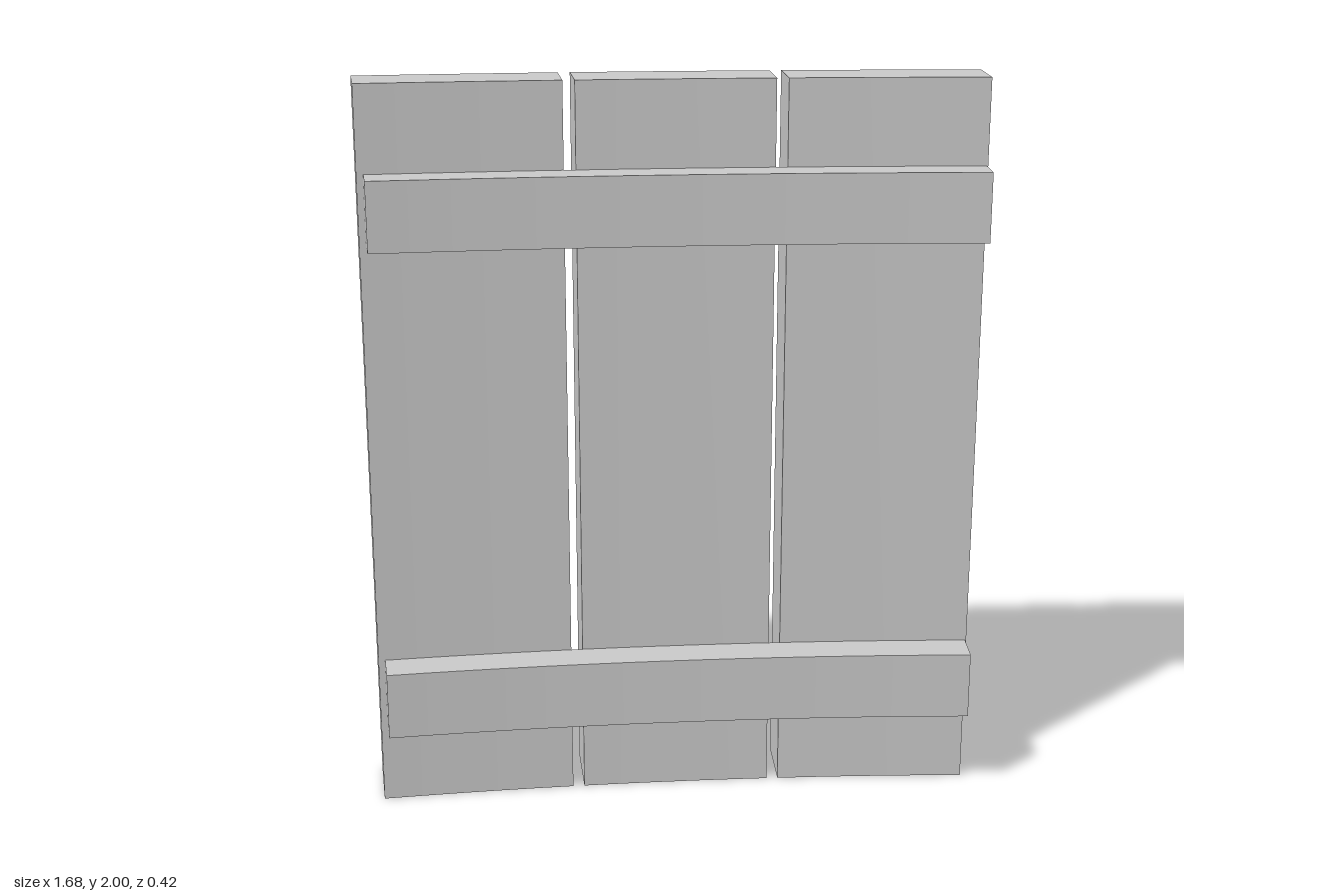
import * as THREE from 'three';

// All pieces are bent around one vertical axis in front of the panel
const RADIUS = 10.2;        // radius of the back surface
const AXIS_X = 0.8;
const AXIS_Z = RADIUS - 0.21;
const PLANK_DEPTH = 0.186;
const BAR_DEPTH = 0.108;

// Curved board between two x positions (measured on its back face)
function curvedBoard(x0, x1, outer, depth, y0, y1, segments) {
  const a0 = Math.asin((x0 - AXIS_X) / outer);
  const a1 = Math.asin((x1 - AXIS_X) / outer);
  const points = [];
  const addArc = (radius, from, to) => {
    for (let i = 0; i <= segments; i++) {
      const a = from + (to - from) * i / segments;
      points.push(new THREE.Vector2(
        AXIS_X + radius * Math.sin(a),
        radius * Math.cos(a) - AXIS_Z
      ));
    }
  };
  addArc(outer - depth, a0, a1);
  addArc(outer, a1, a0);
  const geometry = new THREE.ExtrudeGeometry(new THREE.Shape(points), {
    depth: y1 - y0, bevelEnabled: false
  });
  geometry.rotateX(-Math.PI / 2);
  geometry.translate(0, y0, 0);
  return geometry;
}

export function createModel() {
  const model = new THREE.Group();
  model.name = 'plankPanel';
  const grey = new THREE.MeshStandardMaterial({ color: 0xcccccc });
  grey.name = 'lightGrey';

  const add = (name, geometry) => {
    const mesh = new THREE.Mesh(geometry, grey);
    mesh.name = name;
    model.add(mesh);
  };

  // Three upright planks with narrow gaps
  const planks = [
    ['rightPlank', -0.84, -0.3],
    ['middlePlank', -0.268, 0.266],
    ['leftPlank', 0.298, 0.838]
  ];
  for (const [name, x0, x1] of planks) {
    add(name, curvedBoard(x0, x1, RADIUS, PLANK_DEPTH, 0, 2, 5));
  }

  // Two cross bars on the front
  for (const [name, y0] of [['lowerCrossBar', 0.235], ['upperCrossBar', 1.582]]) {
    add(name, curvedBoard(-0.792, 0.834, RADIUS - PLANK_DEPTH, BAR_DEPTH, y0, y0 + 0.186, 15));
  }
  return model;
}
